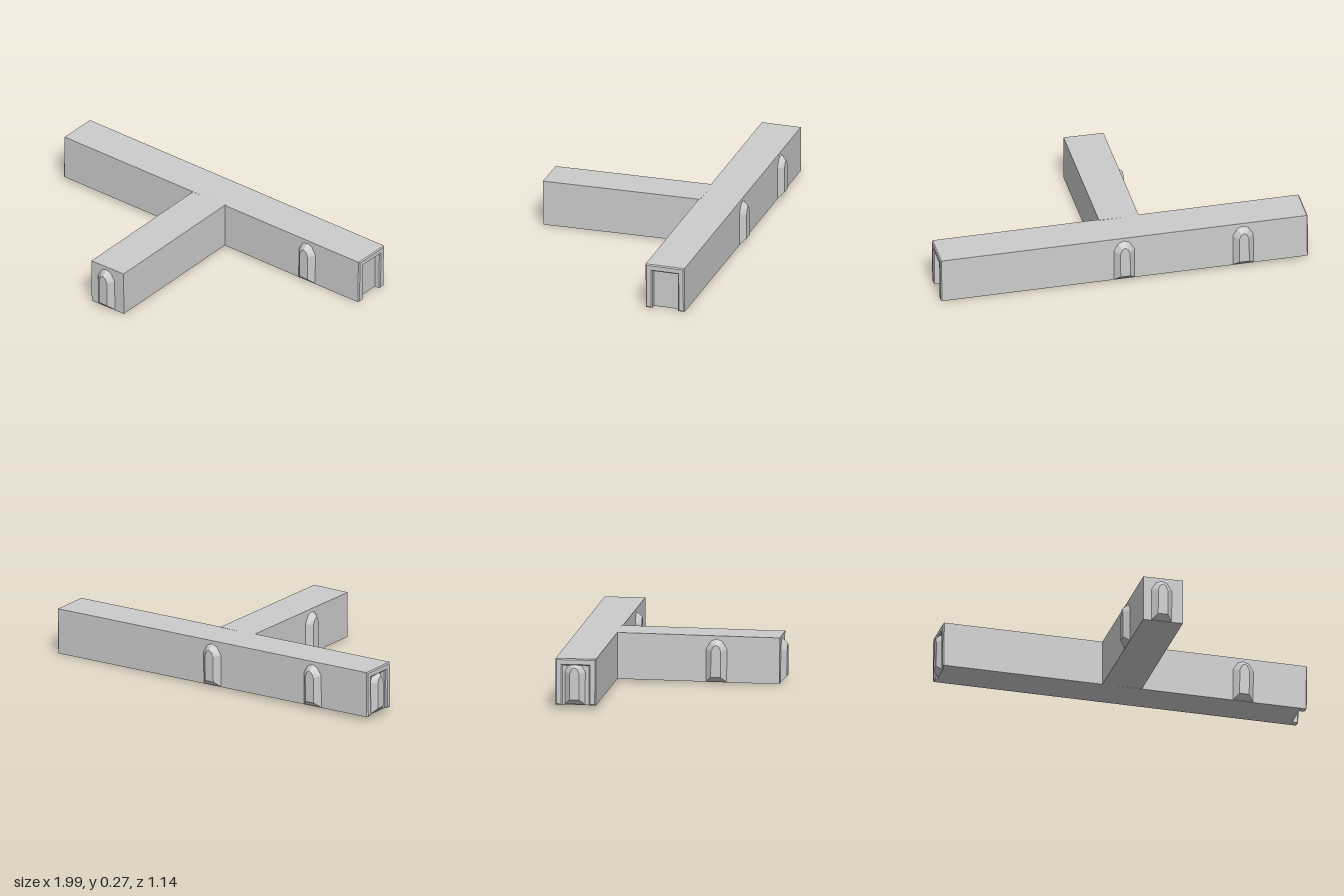
import * as THREE from 'three';
import { ConvexGeometry } from 'three/addons/geometries/ConvexGeometry.js';

const H = 0.247, W = 0.215; // corridor height and width
const mat = new THREE.MeshStandardMaterial({ color: 0xcccccc, flatShading: true });

function add(parent, geometry, name, x = 0, y = 0, z = 0, turn = 0) {
  const m = new THREE.Mesh(geometry, mat);
  m.name = name;
  m.position.set(x, y, z);
  m.rotation.y = turn;
  parent.add(m);
  return m;
}

// Arched hatch: a pointed outline at the wall tapering to a smaller one in front
function hatchGeometry() {
  const outline = (w, bottom, shoulder, top, z) => {
    const half = [[w, bottom], [w, shoulder], [w * 0.55, top - (top - shoulder) * 0.22]];
    const pts = [new THREE.Vector3(0, top, z)];
    for (const [x, y] of half) for (const s of [-1, 1]) pts.push(new THREE.Vector3(s * x, y, z));
    return pts;
  };
  return new ConvexGeometry([
    ...outline(0.055, 0, 0.175, 0.228, 0),
    ...outline(0.026, 0.028, 0.165, 0.2, 0.03),
  ]);
}

// Door surround: two posts and a lintel, open at the bottom, facing +z
function frameGeometry(depth) {
  const w = W / 2, h = H / 2, iw = 0.071, top = h - 0.036;
  const shape = new THREE.Shape([
    [-w, -h], [-iw, -h], [-iw, top], [iw, top], [iw, -h], [w, -h], [w, h], [-w, h],
  ].map(([x, y]) => new THREE.Vector2(x, y)));
  const b = 0.006;
  return new THREE.ExtrudeGeometry(shape, {
    depth, bevelEnabled: true, bevelThickness: b, bevelSize: b, bevelOffset: -b, bevelSegments: 1,
  });
}

export function createModel() {
  const model = new THREE.Group();
  model.name = 'corridorJunction';
  const hatch = hatchGeometry();
  const base = -H / 2 + 0.002;

  // Long cross corridor, sloping gently down to +x
  const cross = new THREE.Group();
  cross.name = 'crossCorridor';
  cross.position.set(0, 0.14, -0.432);
  cross.rotation.z = -0.0122;
  model.add(cross);
  add(cross, new THREE.BoxGeometry(1.93, H, W), 'crossBody', -0.005);
  add(cross, frameGeometry(0.035), 'leftDoorFrame', 0.952, 0, 0, Math.PI / 2);
  add(cross, frameGeometry(0.025), 'rightDoorFrame', -0.954, 0, 0, -Math.PI / 2);
  add(cross, hatch, 'rightEndHatch', -0.969, base, -0.005, -Math.PI / 2);
  add(cross, hatch, 'frontHatch', 0.645, base, W / 2, 0);
  for (const x of [0.005, -0.635]) add(cross, hatch, 'backHatch', x, base, -W / 2, Math.PI);

  // Stem corridor, sloping gently down to the front
  const stem = new THREE.Group();
  stem.name = 'stemCorridor';
  stem.position.set(-0.012, 0.136, 0.1);
  stem.rotation.x = 0.0105;
  model.add(stem);
  add(stem, new THREE.BoxGeometry(W, H, 0.87), 'stemBody');
  add(stem, hatch, 'stemEndHatch', -0.008, base, 0.435, 0);
  add(stem, hatch, 'stemSideHatch', -W / 2, base, 0.1, -Math.PI / 2);

  return model;
}
